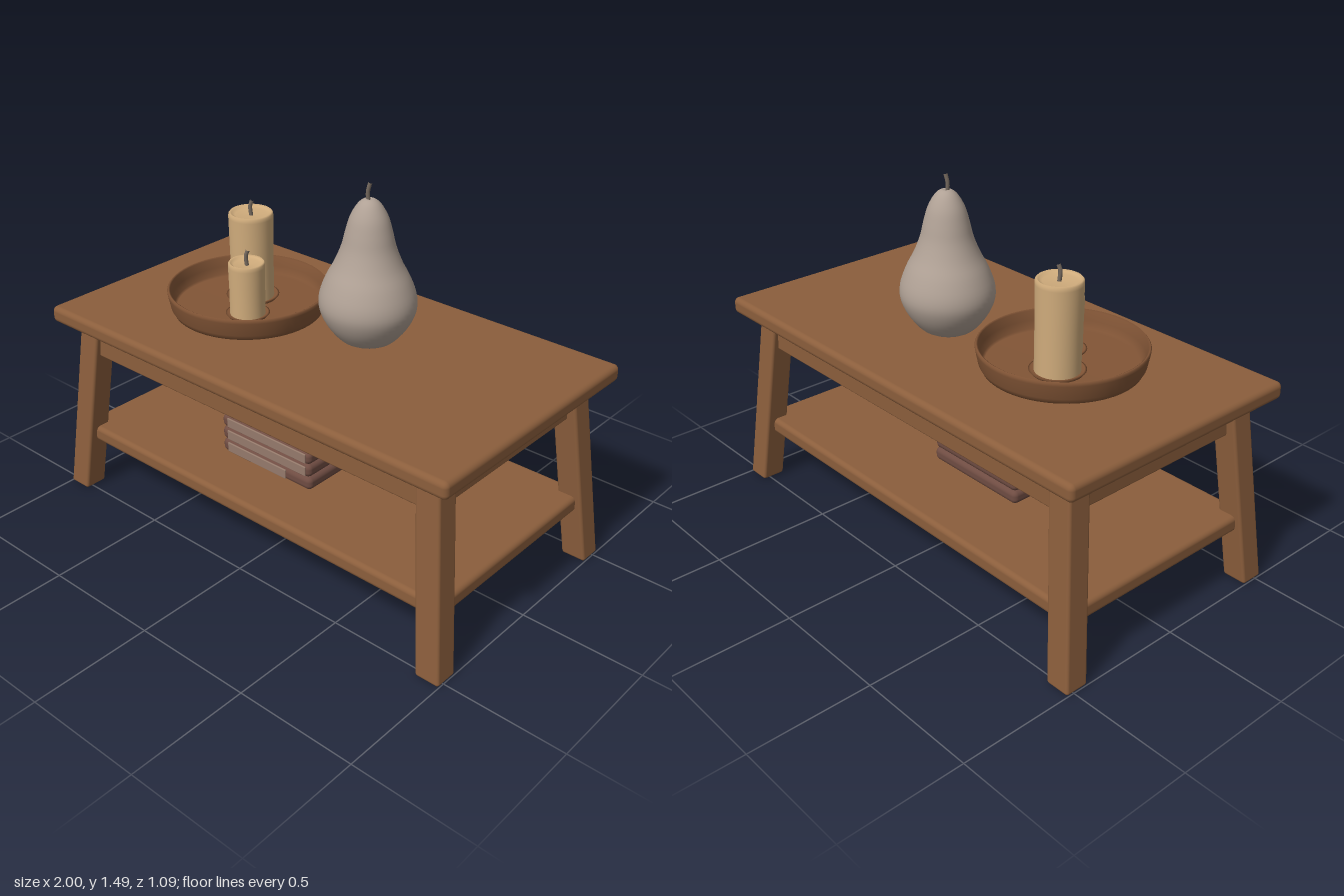
import * as THREE from 'three';
import { RoundedBoxGeometry } from 'three/addons/geometries/RoundedBoxGeometry.js';

const material = (name, color) => {
  const m = new THREE.MeshStandardMaterial({ color });
  m.name = name;
  return m;
};

export function createModel() {
  const wood = material('wood', 0x8b5e3c);
  const trayWood = material('tray wood', 0x825536);
  const ceramic = material('ceramic', 0xb0a195);
  const wax = material('wax', 0xd0ac7c);
  const wick = material('wick', 0x75695e);
  const cover = material('book cover', 0x6f4c42);
  const pale = material('pale book cover', 0x957a6b);

  const root = new THREE.Group();
  root.name = 'coffeeTable';

  const add = (name, geometry, mat, x = 0, y = 0, z = 0, parent = root) => {
    const mesh = new THREE.Mesh(geometry, mat);
    mesh.name = name;
    mesh.position.set(x, y, z);
    parent.add(mesh);
    return mesh;
  };
  // Rounded box given by its limits on each axis
  const slab = (name, [x0, x1], [y0, y1], [z0, z1], radius, mat, parent = root) =>
    add(name, new RoundedBoxGeometry(x1 - x0, y1 - y0, z1 - z0, 3, radius), mat,
      (x0 + x1) / 2, (y0 + y1) / 2, (z0 + z1) / 2, parent);
  const lathe = (points, segments = 48) =>
    new THREE.LatheGeometry(points.map(([r, y]) => new THREE.Vector2(r, y)), segments);
  // Short bent stalk, used for the wicks and the pear stem
  const stalk = (height, radius) => new THREE.TubeGeometry(new THREE.CatmullRomCurve3([
    new THREE.Vector3(0, -0.02, 0),
    new THREE.Vector3(-0.003, height * 0.5, 0.002),
    new THREE.Vector3(0.004, height, -0.002),
  ]), 8, radius, 8);

  // Table
  slab('tableTop', [-1, 1], [0.78, 0.85], [-0.545, 0.545], 0.022, wood);
  slab('apron', [-0.89, 0.89], [0.64, 0.79], [-0.45, 0.45], 0.008, wood);
  slab('shelf', [-0.945, 0.945], [0.228, 0.297], [-0.475, 0.475], 0.02, wood);

  // Splayed legs, sheared outwards towards the floor
  for (const sx of [-1, 1]) {
    for (const sz of [-1, 1]) {
      const leg = new RoundedBoxGeometry(0.104, 0.79, 0.1, 3, 0.012);
      leg.translate(0, 0.395, 0);
      leg.applyMatrix4(new THREE.Matrix4().set(
        1, -0.107 * sx, 0, 0.948 * sx,
        0, 1, 0, 0,
        0, -0.086 * sz, 1, 0.483 * sz,
        0, 0, 0, 1));
      add('leg', leg, wood);
    }
  }

  // Round tray with a raised rim
  add('tray', lathe([
    [0, 0], [0.285, 0], [0.302, 0.008], [0.314, 0.03], [0.325, 0.085], [0.326, 0.096],
    [0.321, 0.102], [0.314, 0.098], [0.308, 0.06], [0.3, 0.028], [0.29, 0.022], [0, 0.022],
  ], 64), trayWood, -0.38, 0.85, 0.025);

  // Candles, each on a shallow dish
  const candle = (name, x, z, radius, top, dish) => {
    const group = new THREE.Group();
    group.name = name;
    group.position.set(x, 0.87, z);
    root.add(group);
    const h = top - 0.87;
    add('dish', lathe([[0, 0], [dish - 0.01, 0], [dish, 0.012], [dish - 0.008, 0.014],
      [dish - 0.02, 0.008], [0, 0.008]]), trayWood, 0, 0, 0, group);
    add('wax', lathe([[radius * 0.97, 0.005], [radius * 0.97, h * 0.5], [radius, h - 0.02],
      [radius * 0.99, h - 0.006], [radius * 0.93, h], [radius * 0.85, h - 0.005],
      [radius * 0.7, h - 0.012], [0, h - 0.014]]), wax, 0, 0, 0, group);
    add('wick', stalk(0.05, 0.008), wick, 0.005, h, 0.002, group);
  };
  candle('largeCandle', -0.42, -0.04, 0.09, 1.24, 0.108);
  candle('smallCandle', -0.312, 0.1, 0.073, 1.1, 0.088);

  // Pear ornament
  const outline = new THREE.SplineCurve([
    [0, 0.005], [0.09, 0.005], [0.15, 0.06], [0.187, 0.13], [0.19, 0.19], [0.166, 0.26],
    [0.132, 0.325], [0.106, 0.39], [0.091, 0.45], [0.073, 0.51], [0.045, 0.558],
    [0.018, 0.578], [0, 0.572],
  ].map(([r, y]) => new THREE.Vector2(r, y))).getPoints(48);
  outline.forEach((p) => { p.x = Math.max(p.x, 0); p.y = Math.max(p.y, 0); });
  const pear = add('pear', new THREE.LatheGeometry(outline, 48), ceramic, 0.16, 0.85, -0.075);
  pear.scale.z = 0.96;
  add('pearStem', stalk(0.07, 0.008), wick, 0.156, 1.42, -0.075);

  // Stack of three books on the shelf, with pale panels on the front
  const books = new THREE.Group();
  books.name = 'books';
  root.add(books);
  for (let i = 0; i < 3; i++) {
    const y = 0.298 + i * 0.0575;
    const shift = i === 0 ? 0 : -0.004;
    slab('book', [-0.335, 0.148 + shift], [y, y + 0.057], [-0.168, 0.248], 0.022, cover, books);
    const right = i === 0 ? 0.02 : 0.125;
    slab('frontPanel', [-0.3, right], [y + 0.008, y + 0.049], [0.243, 0.251], 0.003, pale, books);
  }
  slab('topPanel', [-0.31, 0.12], [0.465, 0.4725], [0.03, 0.232], 0.003, pale, books);

  return root;
}
